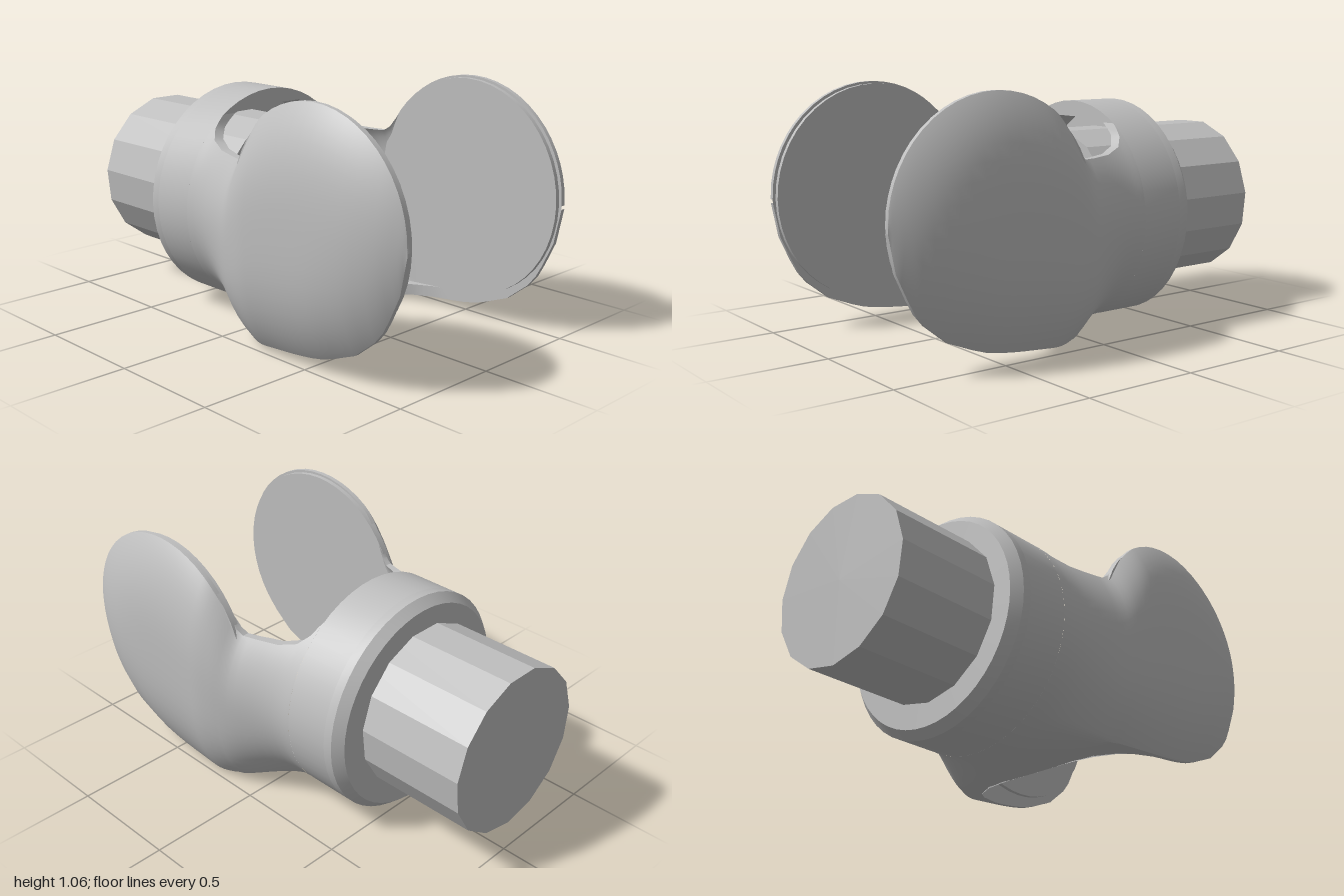
import * as THREE from 'three';
import { toCreasedNormals } from 'three/addons/utils/BufferGeometryUtils.js';

const CY = 0.49, R = 0.485, RI = 0.45; // collar axis height, outer and inner radius
const lerp = THREE.MathUtils.lerp;

// piecewise linear lookup in [z, value] pairs
function table(pairs, z) {
  if (z <= pairs[0][0]) return pairs[0][1];
  for (let i = 1; i < pairs.length; i++) {
    const [z0, v0] = pairs[i - 1], [z1, v1] = pairs[i];
    if (z <= z1) return lerp(v0, v1, (z - z0) / (z1 - z0));
  }
  return pairs[pairs.length - 1][1];
}

const BOTTOM = [[-0.24, 0.005], [0.1, 0.01], [0.13, 0.02], [0.4, 0.04], [0.5, 0.05], [0.6, 0.07],
  [0.75, 0.13], [0.85, 0.21], [0.9, 0.27], [0.97, 0.42], [1, 0.57]];
const NOTCH = [[-0.24, 0.89], [-0.22, 0.84], [-0.18, 0.8], [-0.1, 0.775], [0, 0.77]];
const MOUTH = [[0.13, 0], [0.132, 0.2], [0.15, 0.3], [0.2, 0.39], [0.25, 0.425], [0.35, 0.455], [0.4, 0.46]];
const STATIONS = [-0.24, -0.23, -0.22, -0.2, -0.18, -0.14, -0.1, -0.05, 0, 0.03, 0.06, 0.09, 0.11, 0.13,
  0.132, 0.14, 0.15, 0.175, 0.2, 0.225, 0.25, 0.3, 0.35, 0.4, 0.46, 0.52, 0.58, 0.64, 0.7, 0.75, 0.8,
  0.85, 0.89, 0.92, 0.95, 0.97, 0.985, 0.995, 1];

// closed cross-section of one fork arm: outer skin downwards, inner skin back up
function section(z) {
  const n = 30, k = 0.7;
  const w = THREE.MathUtils.smoothstep(z, -0.2, 0.25);
  const dz = Math.min(1, Math.abs(z - 0.52) / 0.48);
  const top = Math.max(z < 0 ? table(NOTCH, z) : z < 0.3 ? 0.77 : 0, 0.585 + 0.48 * Math.sqrt(1 - dz * dz));
  const yTop = z < 0 ? table(NOTCH, z) : top;
  const yBot = table(BOTTOM, z), xMin = table(MOUTH, z);
  const ringTop = Math.min(yTop, z > -0.1 ? 0.775 : 0.89) - CY;
  const reach = Math.max(0, (z - 0.52) / 0.48);
  const yFloor = Math.min(yBot + 0.05, (yTop + yBot) / 2);
  const outer = [], inner = [];
  for (let i = 0; i <= n; i++) {
    const u = i / n, f = Math.max(0, (u - k) / (1 - k));
    const v = Math.cos(Math.PI * Math.min(1, u / k));
    // outer skin: round collar blended into domed cheek with flat floor
    let a = lerp(Math.asin(ringTop / R), -Math.PI / 2, u);
    const r = Math.sqrt(reach * reach + (1 - reach * reach) * v * v);
    const cheekX = 0.48 * (1 - f) + 0.11 * (1 - Math.pow(Math.min(1, r), 3));
    const cheekY = lerp(yBot, yTop, (v + 1) / 2);
    outer.push([
      Math.max(xMin, lerp(R * Math.cos(a), cheekX, w)),
      lerp(CY + R * Math.sin(a), cheekY, w)]);
    // inner skin: round bore blended into flat cheek wall
    a = lerp(Math.asin(Math.min(1, ringTop / RI)), -Math.PI / 2, u);
    inner.push([
      Math.max(xMin, lerp(RI * Math.cos(a), 0.46 * (1 - f), w)),
      lerp(Math.max(0.085, CY + RI * Math.sin(a)), lerp(yFloor, yTop, (v + 1) / 2), w)]);
  }
  return outer.concat(inner.reverse());
}

// loft through all sections; side is +1 or -1
function armGeometry(side) {
  const pos = [], idx = [];
  const rings = STATIONS.map(section), m = rings[0].length;
  rings.forEach((ring, j) => ring.forEach(([x, y]) => pos.push(side * x, y, STATIONS[j])));
  for (let j = 0; j < rings.length - 1; j++) {
    for (let i = 0; i < m; i++) {
      const a = j * m + i, b = j * m + (i + 1) % m, c = a + m, d = b + m;
      if (side > 0) idx.push(a, c, b, b, c, d);
      else idx.push(a, b, c, b, d, c);
    }
  }
  const g = new THREE.BufferGeometry();
  g.setAttribute('position', new THREE.Float32BufferAttribute(pos, 3));
  g.setIndex(idx);
  return toCreasedNormals(g, 0.6);
}

export function createModel() {
  const group = new THREE.Group();
  const grey = new THREE.MeshStandardMaterial({ color: 0xbfbfbf });
  grey.name = 'plain grey';
  const add = (name, geo, x = 0, y = 0, z = 0) => {
    const mesh = new THREE.Mesh(geo, grey);
    mesh.name = name;
    mesh.position.set(x, y, z);
    group.add(mesh);
    return mesh;
  };

  // fork arms with domed cheeks and inset inner discs
  for (const side of [1, -1]) {
    const label = side > 0 ? 'left' : 'right';
    add(label + 'ForkArm', armGeometry(side));
    const disc = new THREE.CylinderGeometry(0.472, 0.472, 0.03, 48).rotateZ(Math.PI / 2);
    add(label + 'CheekDisc', toCreasedNormals(disc, 0.6), side * 0.455, 0.583, 0.515);
  }

  // hollow collar whose bore is flattened at top and bottom
  const shape = new THREE.Shape().absarc(0, 0, R, 0, Math.PI * 2, false);
  const bore = [];
  for (let i = 0; i < 48; i++) {
    const a = -i / 48 * Math.PI * 2;
    bore.push(new THREE.Vector2(RI * Math.cos(a), THREE.MathUtils.clamp(RI * Math.sin(a), -0.405, 0.415)));
  }
  shape.holes.push(new THREE.Path(bore));
  const collar = new THREE.ExtrudeGeometry(shape, { depth: 0.2, bevelEnabled: false, curveSegments: 24 });
  add('collar', toCreasedNormals(collar, 0.6), 0, CY, -0.44);

  // closed back of the collar with a chamfered edge
  const back = new THREE.LatheGeometry([[0, -0.52], [0.45, -0.52], [R, -0.48], [R, -0.44], [0, -0.44]]
    .map(([r, y]) => new THREE.Vector2(r, y)), 48).rotateX(Math.PI / 2);
  add('collarBack', toCreasedNormals(back, 0.5), 0, CY, 0);

  // faceted shaft running through the collar
  const shaft = new THREE.CylinderGeometry(0.358, 0.358, 0.845, 15).rotateX(Math.PI / 2);
  add('shaft', toCreasedNormals(shaft, 0.2), -0.01, 0.497, -0.5775);

  return group;
}
